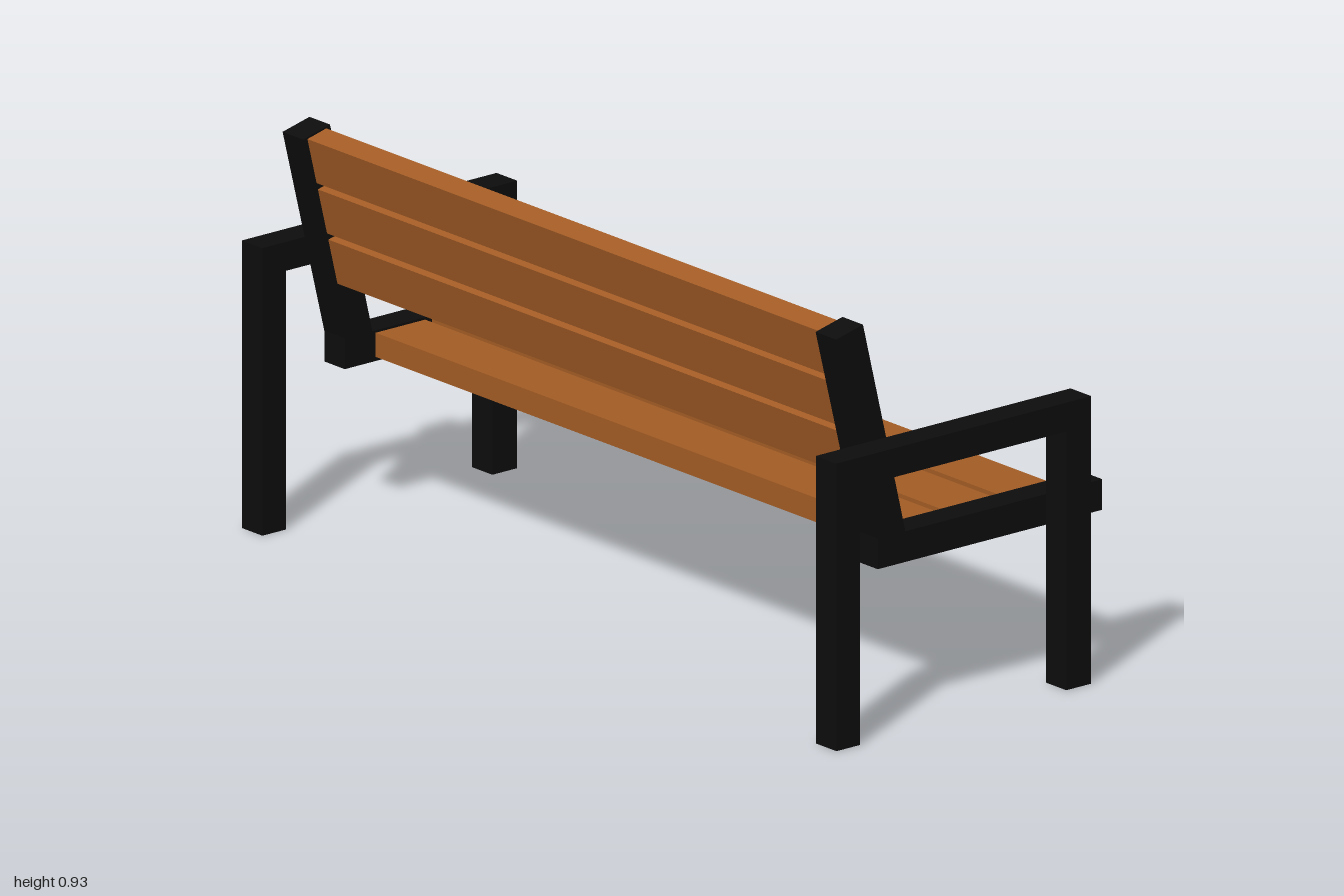
import * as THREE from 'three';

const black = new THREE.MeshStandardMaterial({ color: 0x0d0d0d });
black.name = 'blackSteel';
const wood = new THREE.MeshStandardMaterial({ color: 0xa35c25 });
wood.name = 'brownWood';

// Extrudes a side outline (x, y) between z0 and z1
function sidePlate(name, points, z0, z1) {
  const shape = new THREE.Shape(points.map(([x, y]) => new THREE.Vector2(x, y)));
  const geometry = new THREE.ExtrudeGeometry(shape, { depth: z1 - z0, bevelEnabled: false });
  geometry.translate(0, 0, z0);
  const mesh = new THREE.Mesh(geometry, black);
  mesh.name = name;
  return mesh;
}

// A plank running the full width between the two side frames
function slat(name, width, height, x, y, tilt = 0) {
  const mesh = new THREE.Mesh(new THREE.BoxGeometry(width, height, 1.726), wood);
  mesh.position.set(x, y, 0);
  mesh.rotation.z = tilt;
  mesh.name = name;
  return mesh;
}

export function createModel() {
  const bench = new THREE.Group();
  bench.name = 'bench';

  // Legs joined by the armrest
  const arch = [
    [-0.405, 0], [-0.338, 0], [-0.338, 0.59], [0.245, 0.59],
    [0.245, 0], [0.315, 0], [0.315, 0.656], [-0.405, 0.656],
  ];
  // Seat rail with the leaning back post
  const rail = [
    [-0.23, 0.36], [0.404, 0.36], [0.404, 0.43], [-0.152, 0.43],
    [-0.272, 0.927], [-0.348, 0.909], [-0.23, 0.43],
  ];
  for (const [side, s] of [['front', 1], ['back', -1]]) {
    const span = (a, b) => (s > 0 ? [a, b] : [-b, -a]);
    bench.add(sidePlate(side + 'LegsAndArmrest', arch, ...span(0.931, 1)));
    bench.add(sidePlate(side + 'SeatRailAndBackPost', rail, ...span(0.862, 0.931)));
  }

  // Seat planks
  for (let i = 0; i < 3; i++) {
    bench.add(slat('seatSlat' + (i + 1), 0.14, 0.055, -0.073 + i * 0.159, 0.397));
  }

  // Backrest planks, following the lean of the posts
  const slope = 0.244;
  for (let i = 0; i < 3; i++) {
    const y = 0.619 + i * 0.121;
    bench.add(slat('backSlat' + (i + 1), 0.055, 0.109, -0.191 - (y - 0.43) * slope, y, Math.atan(slope)));
  }
  return bench;
}
